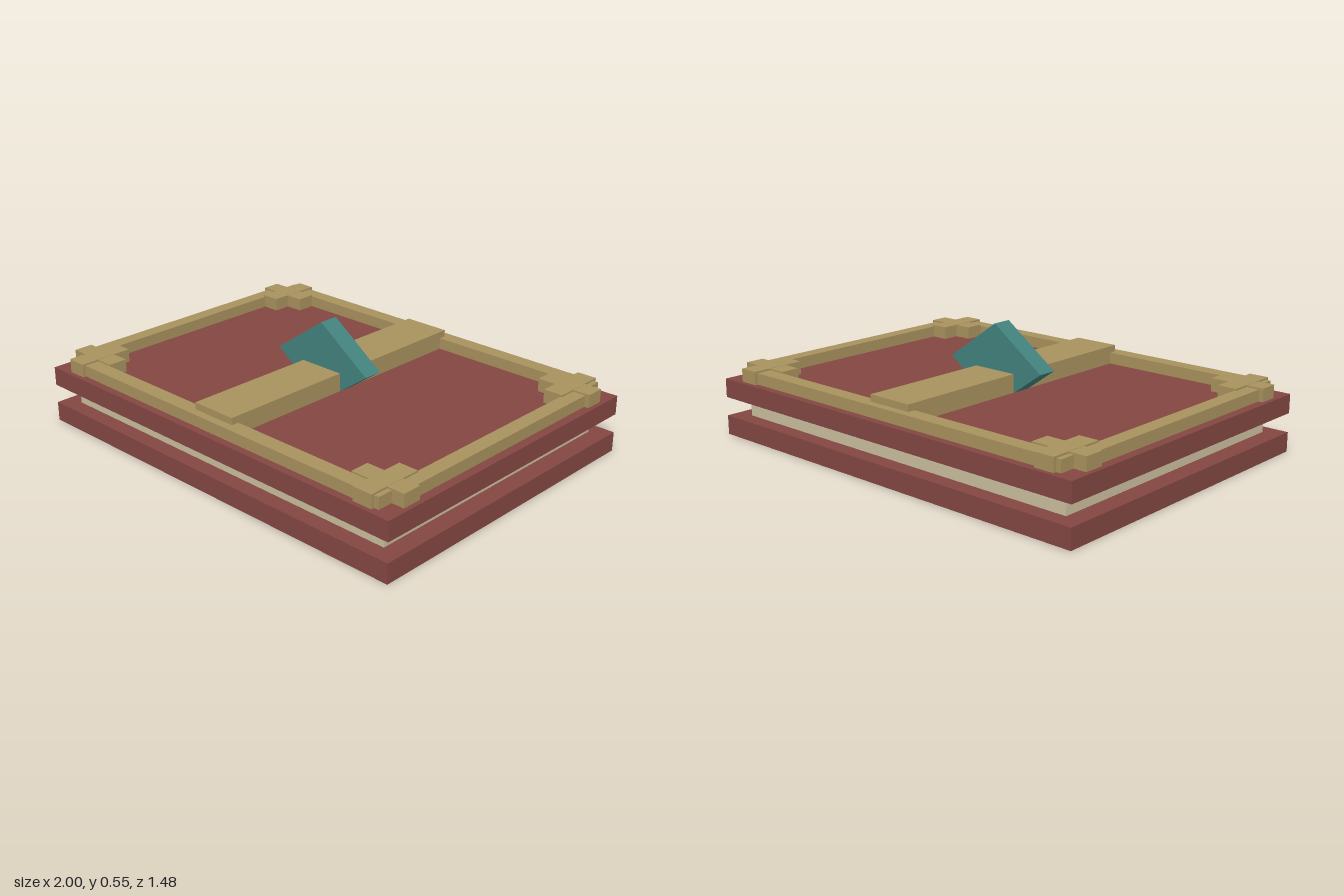
import * as THREE from 'three';

const mat = (name, color) => {
  const m = new THREE.MeshStandardMaterial({ color });
  m.name = name;
  return m;
};

export function createModel() {
  const book = new THREE.Group();
  book.name = 'book';
  const leather = mat('red leather', 0x834742);
  const brass = mat('dull brass', 0xa8915d);
  const paper = mat('paper', 0xcabe9e);
  const teal = mat('teal', 0x42827d);

  // Box given by its extents on each axis
  const box = (name, material, [x0, x1], [y0, y1], [z0, z1], parent = book) => {
    const mesh = new THREE.Mesh(new THREE.BoxGeometry(x1 - x0, y1 - y0, z1 - z0), material);
    mesh.position.set((x0 + x1) / 2, (y0 + y1) / 2, (z0 + z1) / 2);
    mesh.name = name;
    parent.add(mesh);
  };
  const span = (s, a, b) => (s > 0 ? [a, b] : [-b, -a]);

  // Covers and page block
  box('backCover', leather, [-1, 1], [0, 0.088], [-0.74, 0.74]);
  box('pages', paper, [-0.918, 0.918], [0.088, 0.174], [-0.668, 0.668]);
  box('frontCover', leather, [-1, 1], [0.174, 0.26], [-0.74, 0.74]);

  // Raised border rails on the front cover
  for (const s of [-1, 1]) {
    box('longRail', brass, [-0.922, 0.922], [0.26, 0.312], span(s, 0.634, 0.705));
    box('shortRail', brass, span(s, 0.892, 0.96), [0.26, 0.312], [-0.634, 0.634]);
  }

  // Cross-shaped corner fittings
  for (const sx of [-1, 1]) {
    for (const sz of [-1, 1]) {
      const corner = new THREE.Group();
      corner.name = 'cornerFitting';
      book.add(corner);
      box('crossBar', brass, span(sx, 0.725, 0.98), [0.26, 0.319], span(sz, 0.547, 0.635), corner);
      box('uprightBar', brass, span(sx, 0.81, 0.9), [0.26, 0.32], span(sz, 0.465, 0.72), corner);
    }
  }

  // Strap across the cover
  box('strap', brass, [-0.11, 0.11], [0.26, 0.343], [-0.668, 0.668]);

  // Diamond clasp, half sunk into the cover
  const diamond = new THREE.Shape([[0.26, 0], [0, 0.184], [-0.26, 0], [0, -0.184]]
    .map(([x, y]) => new THREE.Vector2(x, y)));
  const clasp = new THREE.Mesh(
    new THREE.ExtrudeGeometry(diamond, { depth: 0.09, bevelEnabled: false }), teal);
  clasp.position.set(0, 0.365, -0.045);
  clasp.name = 'clasp';
  book.add(clasp);

  return book;
}
